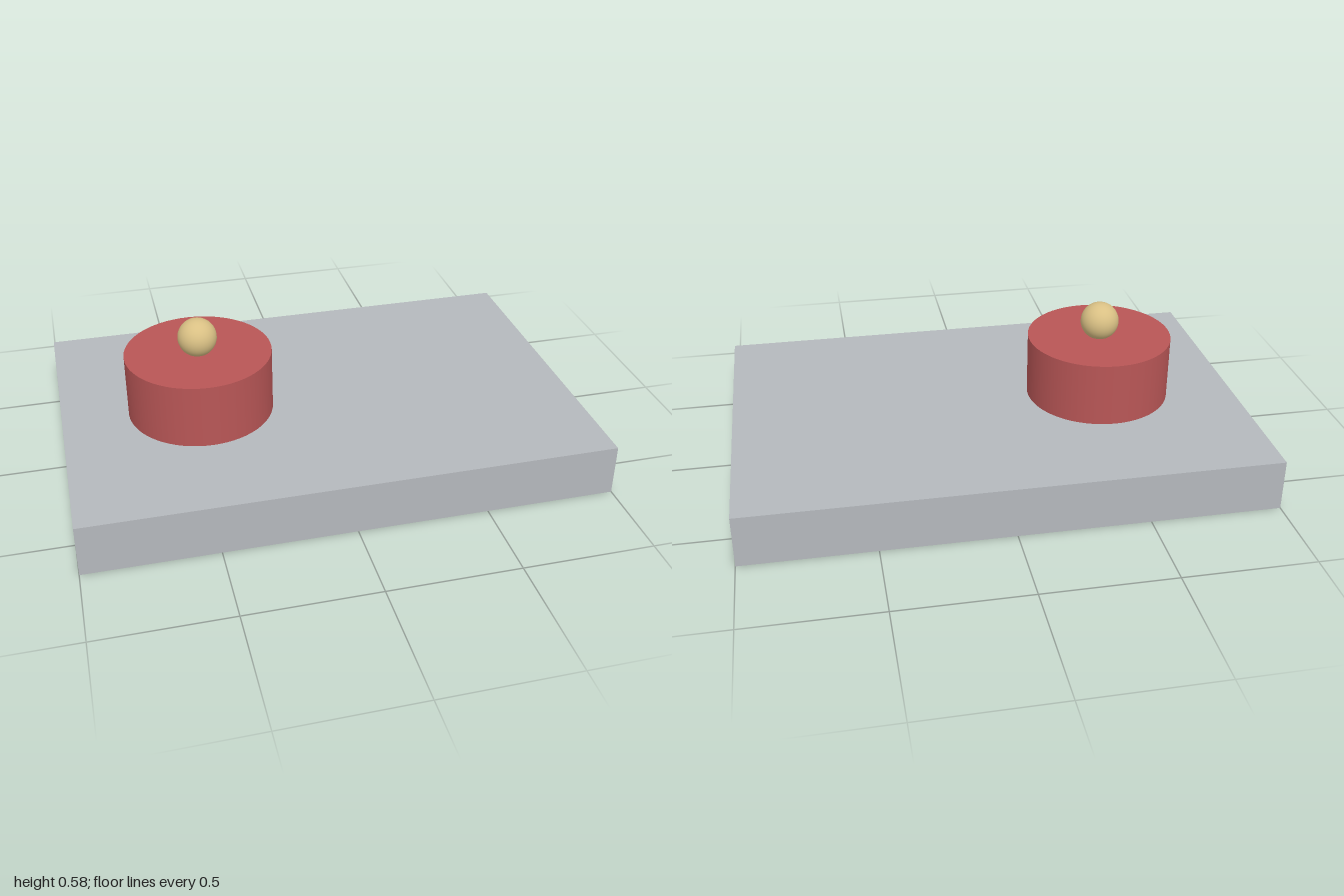
import * as THREE from 'three';

export function createModel() {
  const model = new THREE.Group();
  const paint = (name, color) => {
    const material = new THREE.MeshStandardMaterial({ color });
    material.name = name;
    return material;
  };
  const add = (name, geometry, material, x, y) => {
    const mesh = new THREE.Mesh(geometry, material);
    mesh.name = name;
    mesh.position.set(x, y, 0);
    model.add(mesh);
  };

  const axisX = -0.46;

  // Flat rectangular slab
  add('basePlate', new THREE.BoxGeometry(2, 0.2, 1.333), paint('lightGrey', 0xb4b8bc), 0, 0.1);

  // Round drum standing off-centre on the slab
  add('drum', new THREE.CylinderGeometry(0.283, 0.283, 0.25, 64), paint('dullRed', 0xb85656), axisX, 0.325);

  // Ball knob sunk slightly into the drum top
  add('knob', new THREE.SphereGeometry(0.075, 32, 24), paint('sandGold', 0xd9c084), axisX, 0.51);

  return model;
}
